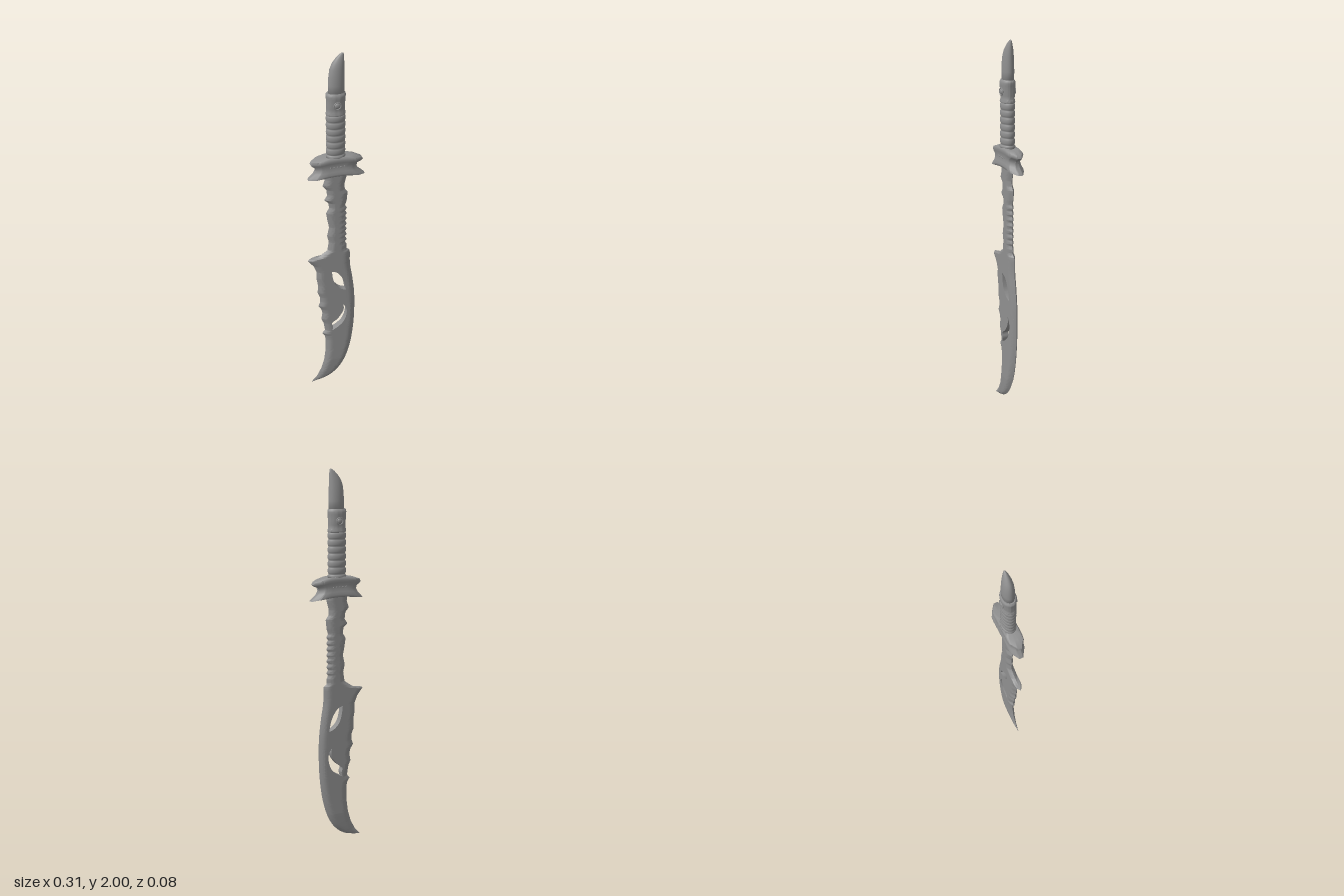
import * as THREE from 'three';
import { toCreasedNormals, mergeGeometries } from 'three/addons/utils/BufferGeometryUtils.js';

const material = new THREE.MeshStandardMaterial({ color: 0x909090 });

function add(parent, name, geometry) {
  const mesh = new THREE.Mesh(geometry, material);
  mesh.name = name;
  parent.add(mesh);
  return mesh;
}

// Closed skin through rings of [x, y, z] points, listed from bottom to top
function skin(rings) {
  const count = rings[0].length, last = (rings.length - 1) * count, index = [];
  const centre = ring => [0, 1, 2].map(k => ring.reduce((sum, p) => sum + p[k], 0) / count);
  const pos = [...rings.flat(), centre(rings[0]), centre(rings.at(-1))].flat();
  const low = last + count, high = low + 1;
  for (let j = 0; j < count; j++) {
    const k = (j + 1) % count;
    for (let i = 0; i < last; i += count) {
      index.push(i + j, i + j + count, i + k, i + k, i + j + count, i + k + count);
    }
    index.push(low, j, k, high, last + k, last + j);
  }
  const g = new THREE.BufferGeometry();
  g.setAttribute('position', new THREE.Float32BufferAttribute(pos, 3));
  g.setIndex(index);
  g.computeVertexNormals();
  return g;
}

// Rings given as [y, centre x, radius x, radius z]; plan(u) is the unit outline
const loft = (rings, plan, count, bend = () => 0) => skin(rings.map(([y, cx, rx, rz]) =>
  Array.from({ length: count }, (_, j) => {
    const [px, pz] = plan(j / count);
    return [cx + px * rx, y + bend(cx + px * rx), pz * rz];
  })));

const ellipse = u => [Math.cos(u * Math.PI * 2), Math.sin(u * Math.PI * 2)];
const smooth = (list, n) => new THREE.SplineCurve(list.map(p => new THREE.Vector2(...p)))
  .getPoints(n).map(p => [p.x, p.y]);

// Outline as a function x(y), from points ordered by rising y
const outline = list => y => {
  let i = 1;
  while (i < list.length - 1 && list[i][1] < y) i++;
  const [x0, y0] = list[i - 1], [x1, y1] = list[i];
  return THREE.MathUtils.lerp(x0, x1, THREE.MathUtils.clamp((y - y0) / (y1 - y0), 0, 1));
};

function bladeGeometry() {
  // Cutting edge: sweeping belly, then small teeth on the neck
  const edge = smooth([[-0.145, 0], [-0.055, 0.02], [0.005, 0.06], [0.05, 0.125], [0.082, 0.22], [0.1, 0.33],
    [0.108, 0.45], [0.107, 0.58], [0.095, 0.69], [0.081, 0.78], [0.08, 0.85]], 60);
  edge.push([0.078, 0.87], [0.06, 0.885]);
  for (let y = 0.91; y < 1.15; y += 0.032) edge.push([0.062, y], [0.052, y + 0.018]);
  edge.push([0.06, 1.18], [0.065, 1.23], [0.05, 1.25], [0.047, 1.28], [0.06, 1.33], [0.055, 1.38]);
  // Ragged spine with the projecting hook
  const spine = [[-0.145, 0], [-0.11, 0.04], [-0.085, 0.09], [-0.068, 0.15], [-0.059, 0.22], [-0.058, 0.29],
    [-0.064, 0.32], [-0.078, 0.34], [-0.062, 0.36], [-0.07, 0.41], [-0.083, 0.44], [-0.076, 0.48], [-0.082, 0.505],
    [-0.098, 0.53], [-0.088, 0.56], [-0.09, 0.59], [-0.102, 0.62], [-0.1, 0.67], [-0.108, 0.72], [-0.107, 0.76],
    [-0.123, 0.8], [-0.155, 0.84], [-0.147, 0.848], [-0.1, 0.852], [-0.075, 0.868], [-0.046, 0.888], [-0.038, 0.94],
    [-0.047, 0.98], [-0.036, 1.03], [-0.044, 1.07], [-0.052, 1.12], [-0.035, 1.15], [-0.04, 1.18],
    [-0.062, 1.2], [-0.046, 1.225], [-0.05, 1.26], [-0.07, 1.285], [-0.058, 1.32], [-0.065, 1.38]];
  const left = outline(spine), right = outline(edge);
  // Left and right sides of the two curved openings
  const lowerLeft = outline(smooth([[-0.025, 0.36], [-0.02, 0.385], [-0.025, 0.412], [0.004, 0.434],
    [0.03, 0.468], [0.042, 0.5], [0.038, 0.53]], 30));
  const lowerRight = outline(smooth([[-0.025, 0.36], [0.012, 0.382], [0.044, 0.415], [0.059, 0.465],
    [0.055, 0.505], [0.038, 0.53]], 30));
  const upperLeft = outline(smooth([[0.055, 0.623], [0.022, 0.637], [-0.006, 0.668], [-0.02, 0.71], [-0.026, 0.757]], 30));
  const upperRight = outline(smooth([[0.055, 0.623], [0.043, 0.68], [0.024, 0.72], [0, 0.748], [-0.026, 0.757]], 30));

  // Half thickness: sharp at both outer edges, thinning to the tip
  const halfThickness = (x, y) => {
    const d = Math.min(x - left(y), right(y) - x);
    const tip = Math.sqrt(Math.min(1, y / 0.15));
    return 0.019 * tip * Math.sin(Math.PI / 2 * THREE.MathUtils.clamp(d / 0.034, 0, 1));
  };
  const across = 20;
  const strip = (y0, y1, from, to) => {
    const rows = Math.ceil((y1 - y0) / 0.004), rings = [];
    for (let i = 0; i <= rows; i++) {
      const y = y0 + (y1 - y0) * i / rows, front = [], back = [];
      for (let k = 0; k <= across; k++) {
        const x = THREE.MathUtils.lerp(from(y), to(y), (1 - Math.cos(Math.PI * k / across)) / 2);
        const z = halfThickness(x, y);
        front.unshift([x, y, z]);
        back.push([x, y, -z]);
      }
      rings.push([...front, ...back]);
    }
    return skin(rings);
  };
  return toCreasedNormals(mergeGeometries([
    strip(0, 0.36, left, right),
    strip(0.36, 0.53, left, lowerLeft), strip(0.36, 0.53, lowerRight, right),
    strip(0.53, 0.623, left, right),
    strip(0.623, 0.757, left, upperLeft), strip(0.623, 0.757, upperRight, right),
    strip(0.757, 1.38, left, right),
  ]), 0.7);
}

// Long plan with chamfered, blunt ends, sampled evenly along each side
function guardPlan(u) {
  const c = [[1, -0.25], [1, 0.25], [0.72, 0.92], [0.55, 1], [-0.55, 1], [-0.72, 0.92],
    [-1, 0.25], [-1, -0.25], [-0.72, -0.92], [-0.55, -1], [0.55, -1], [0.72, -0.92]];
  const s = u * 12 + 1e-6, i = Math.floor(s), f = s - i;
  const a = c[i % 12], b = c[(i + 1) % 12];
  return [a[0] + (b[0] - a[0]) * f, a[1] + (b[1] - a[1]) * f];
}

export function createModel() {
  const group = new THREE.Group();
  add(group, 'blade', bladeGeometry());

  // Guard: two flared flanges with a waist, the tips drooping
  const guard = new THREE.Group();
  guard.name = 'guard';
  group.add(guard);
  const guardRings = [[1.352, 0, 0.07, 0.03], [1.35, 0.002, 0.13, 0.037], [1.353, 0.003, 0.15, 0.041],
    [1.364, 0.002, 0.14, 0.042], [1.378, 0, 0.118, 0.038], [1.395, 0, 0.108, 0.035], [1.412, 0, 0.112, 0.035],
    [1.426, 0.003, 0.13, 0.038], [1.438, 0.004, 0.138, 0.041], [1.449, 0.003, 0.132, 0.039], [1.455, 0, 0.09, 0.034]];
  add(guard, 'guardBody', toCreasedNormals(loft(guardRings, guardPlan, 72,
    x => -0.02 * Math.min(1, (x / 0.145) ** 2)), 0.9));
  for (const side of [1, -1]) {
    // Row of small beads on each face
    for (let i = -2; i <= 2; i++) {
      add(guard, 'guardBead', new THREE.SphereGeometry(0.004, 10, 8)).position.set(i * 0.018, 1.402, side * 0.034);
    }
  }

  // Grip with rounded wrapped ridges
  const gripRings = [[1.445, 0, 0.05, 0.038], [1.458, 0, 0.05, 0.038], [1.464, 0, 0.047, 0.033]];
  const ridges = 6, step = 0.036;
  for (let i = 0; i < ridges * 8; i++) {
    const bulge = Math.sqrt(Math.sin(Math.PI * (i % 8) / 8));
    gripRings.push([1.466 + i * step / 8, 0, 0.045 + 0.005 * bulge, 0.03 + 0.005 * bulge]);
  }
  gripRings.push([1.682, 0, 0.045, 0.03]);
  add(group, 'grip', loft(gripRings, ellipse, 40));

  // Collar with rolled rims
  const collarRings = [[1.678, 0, 0.04, 0.026], [1.682, 0, 0.049, 0.034], [1.69, 0, 0.051, 0.036], [1.698, 0, 0.049, 0.034],
    [1.702, 0, 0.047, 0.032], [1.72, 0, 0.048, 0.034], [1.745, 0, 0.048, 0.036], [1.772, 0, 0.049, 0.037],
    [1.784, 0, 0.051, 0.038], [1.794, 0, 0.05, 0.035], [1.8, 0, 0.045, 0.03], [1.798, 0, 0.036, 0.026]];
  add(group, 'collar', toCreasedNormals(loft(collarRings, ellipse, 40), 0.8));
  for (const side of [1, -1]) {
    add(group, 'studRing', new THREE.TorusGeometry(0.018, 0.003, 10, 28)).position.set(0, 1.74, side * 0.036);
    const stud = add(group, 'stud', new THREE.SphereGeometry(0.015, 18, 12));
    stud.position.set(0, 1.74, side * 0.034);
    stud.scale.z = 0.5;
  }

  // Pommel: a rounded spike, slanted on one side
  const pommelRings = [[1.79, 0.003, 0.041, 0.029], [1.84, 0.003, 0.041, 0.03], [1.88, 0.004, 0.04, 0.029],
    [1.92, 0.006, 0.037, 0.026], [1.95, 0.012, 0.031, 0.021], [1.975, 0.021, 0.021, 0.014],
    [1.99, 0.028, 0.013, 0.009], [1.997, 0.032, 0.008, 0.005], [2, 0.034, 0.003, 0.002]];
  add(group, 'pommel', loft(pommelRings, ellipse, 40));
  return group;
}
